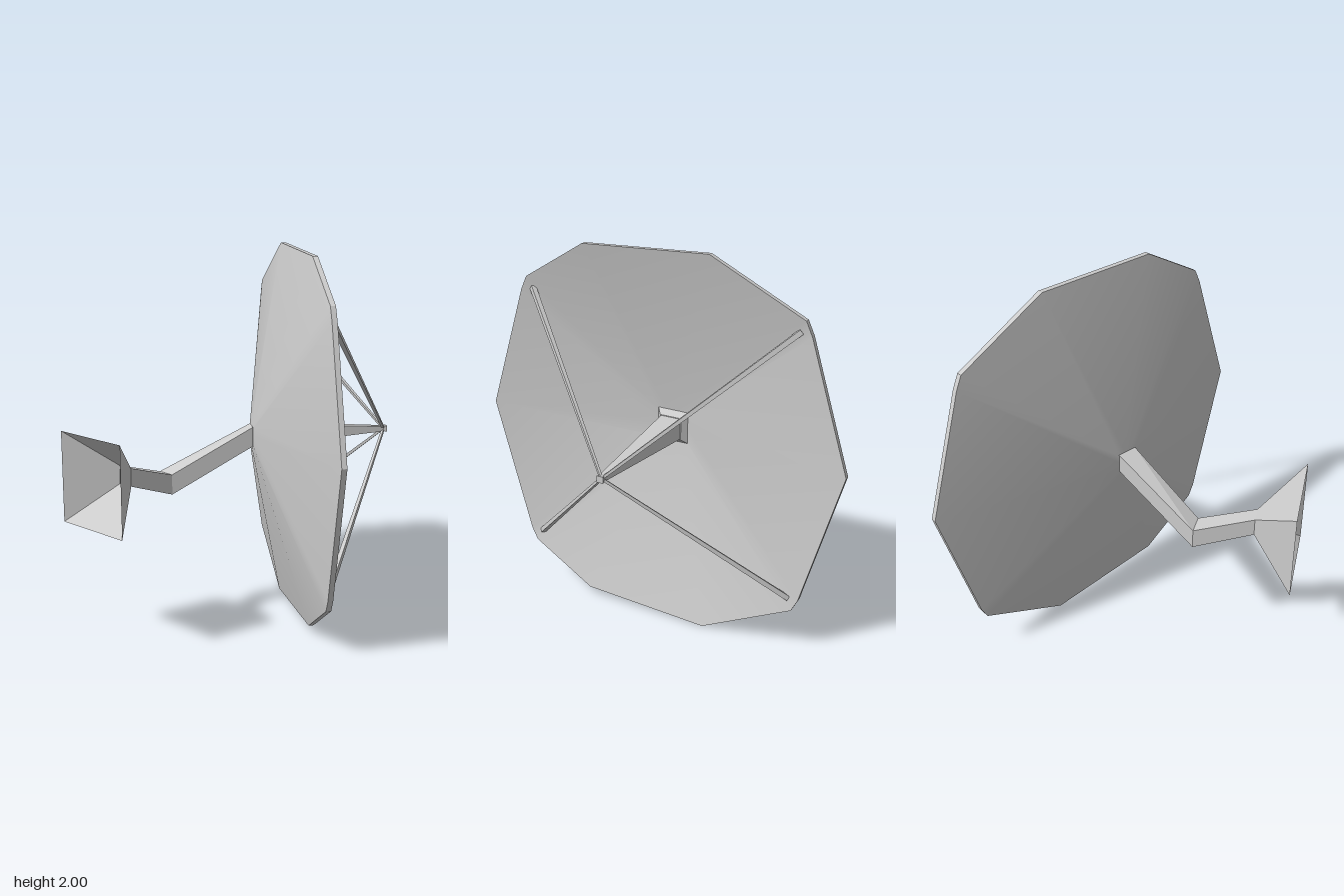
import * as THREE from 'three';
import { toCreasedNormals } from 'three/addons/utils/BufferGeometryUtils.js';

const V = (x, y, z) => new THREE.Vector3(x, y, z);
const grey = new THREE.MeshStandardMaterial({ color: 0xcccccc });
const greyOpen = new THREE.MeshStandardMaterial({ color: 0xcccccc, side: THREE.DoubleSide });

// Skins a row of equal-length loops (counter-clockwise seen from the end they run towards).
function loft(sections, capStart, capEnd, crease) {
  const pos = [];
  const tri = (...pts) => pts.forEach((p) => pos.push(p.x, p.y, p.z));
  for (let s = 0; s < sections.length - 1; s++) {
    const a = sections[s], b = sections[s + 1];
    a.forEach((p, i) => {
      const j = (i + 1) % a.length;
      tri(p, a[j], b[j]);
      tri(p, b[j], b[i]);
    });
  }
  const cap = (loop, flip) => {
    for (let i = 1; i < loop.length - 1; i++) {
      if (flip) tri(loop[0], loop[i + 1], loop[i]);
      else tri(loop[0], loop[i], loop[i + 1]);
    }
  };
  if (capStart) cap(sections[0], true);
  if (capEnd) cap(sections[sections.length - 1], false);
  const g = new THREE.BufferGeometry();
  g.setAttribute('position', new THREE.Float32BufferAttribute(pos, 3));
  g.computeVertexNormals();
  return crease ? toCreasedNormals(g, crease) : g;
}

function add(parent, name, geometry, material = grey) {
  const mesh = new THREE.Mesh(geometry, material);
  mesh.name = name;
  parent.add(mesh);
  return mesh;
}

// Four-sided section of the support arm: corners on its far and near side, low and high.
const armSection = (xNear, zNear, xFar, zFar, low, high) => [
  V(xNear, low, zNear), V(xNear, high, zNear), V(xFar, high, zFar), V(xFar, low, zFar),
];

// Square loop in the dish's own frame.
const square = (cx, half, z) =>
  [[-1, -1], [1, -1], [1, 1], [-1, 1]].map(([x, y]) => V(cx + x * half, y * half, z));

export function createModel() {
  const model = new THREE.Group();
  model.name = 'satelliteDish';

  // Dish assembly: local +z is the direction the bowl faces
  const dish = new THREE.Group();
  dish.name = 'dishAssembly';
  dish.position.set(0.305, 1, 0.006);
  dish.rotation.y = 0.98;
  model.add(dish);

  // Faceted bowl: back cone, thin rim and hollow front
  const outline = [
    [0.993, 0.03], [0.79, 0.685], [0.757, 0.757], [0.268, 1], [-0.42, 0.967],
    [-0.757, 0.757], [-0.79, 0.685], [-0.993, 0.03], [-0.79, -0.69], [-0.757, -0.755],
    [-0.42, -0.962], [0.268, -1], [0.757, -0.755], [0.79, -0.69],
  ];
  const rim = (z) => outline.map(([x, y]) => V(x, y, z));
  const hub = (cx, half, z) => outline.map(([x, y]) => {
    const k = half / Math.max(Math.abs(x - cx), Math.abs(y));
    return V(cx + (x - cx) * k, y * k, z);
  });
  add(dish, 'bowl', loft(
    [hub(-0.05, 0.053, -0.256), rim(-0.027), rim(0), hub(-0.04, 0.088, -0.23)],
    true, true, 0.4));

  // Feed horn on its square bevelled base
  const feedX = -0.032;
  add(dish, 'feedBase', loft([square(feedX, 0.088, -0.232), square(feedX, 0.06, -0.2)], false, true));
  add(dish, 'feedHorn', loft([square(feedX, 0.056, -0.2), square(feedX, 0.014, 0.49)], false, true));
  add(dish, 'feedTip', loft([square(feedX, 0.012, 0.475), square(feedX, 0.017, 0.503)], true, true));

  // Four tapering struts from the rim corners to the feed tip
  const tip = V(feedX, 0, 0.488);
  for (const sx of [-1, 1]) {
    for (const sy of [-1, 1]) {
      const foot = V(sx * 0.73, sy * 0.698, -0.018);
      const run = tip.clone().sub(foot);
      const g = new THREE.CylinderGeometry(0.009, 0.018, run.length(), 4).toNonIndexed();
      g.computeVertexNormals();
      const strut = add(dish, 'feedStrut', g);
      strut.position.copy(foot).add(tip).multiplyScalar(0.5);
      strut.quaternion.setFromUnitVectors(V(0, 1, 0), run.normalize());
    }
  }

  // Bent support arm from the back of the bowl
  const armEnd = armSection(-0.647, -0.25, -0.647, -0.338, 0.82, 0.915);
  add(model, 'supportArm', loft([
    armSection(0.032, -0.055, 0.097, -0.14, 0.948, 1.052),
    armSection(-0.35, -0.275, -0.343, -0.38, 0.715, 0.822),
    armEnd,
  ], false, false), greyOpen);

  // Open flared foot that meets the wall
  add(model, 'wallMount', loft([
    armEnd,
    armSection(-0.865, 0.062 - 0.124, -0.865, -0.528, 0.625, 1.1),
  ], false, false), greyOpen);

  return model;
}
